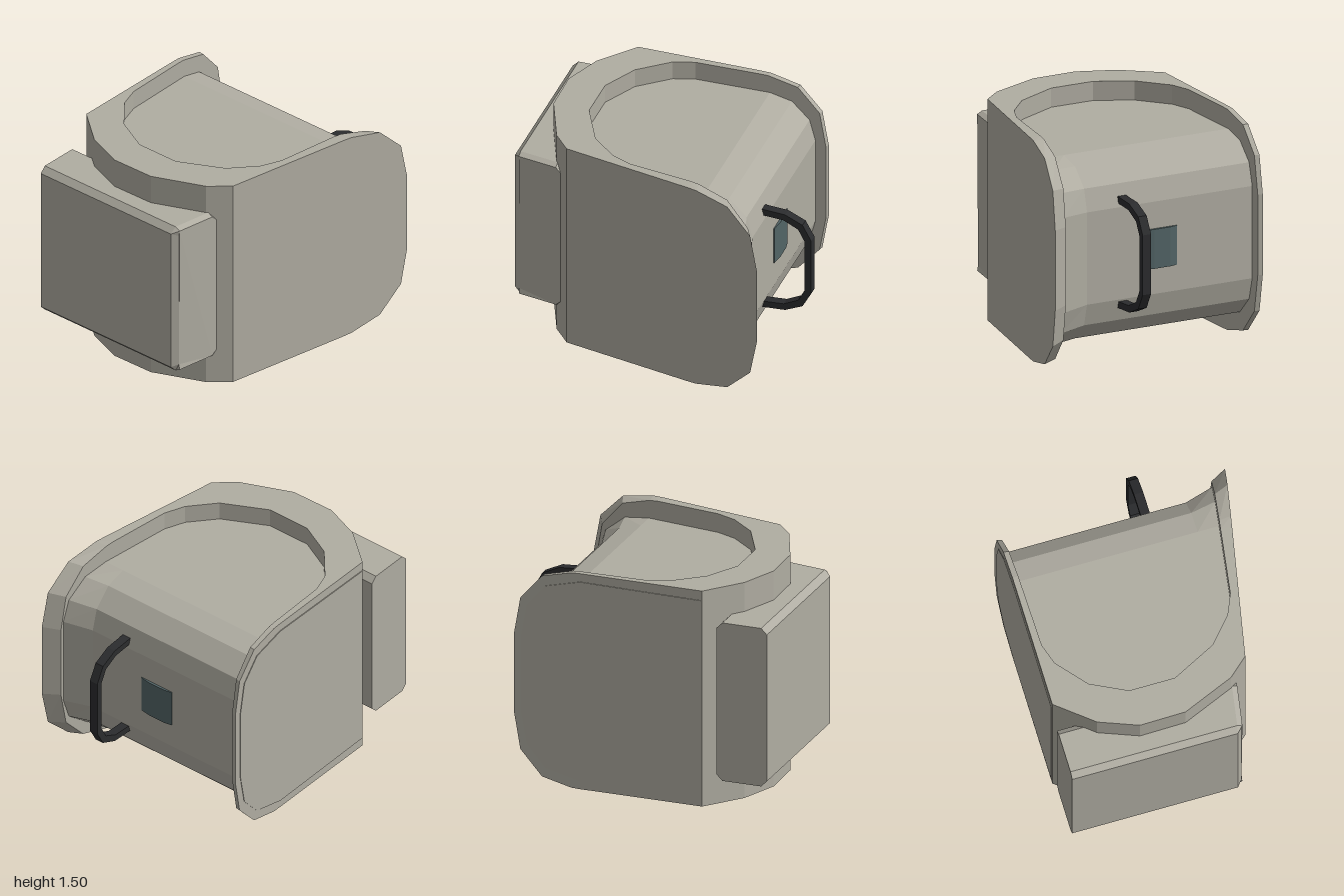
import * as THREE from 'three';

const MID = 0.757; // height of the horizontal symmetry plane

export function createModel() {
  const model = new THREE.Group();
  const shellGrey = new THREE.MeshStandardMaterial({ color: 0xb0ada2 });
  shellGrey.name = 'warm grey';
  const handleBlack = new THREE.MeshStandardMaterial({ color: 0x2b2c2e });
  handleBlack.name = 'charcoal';
  const glassTeal = new THREE.MeshStandardMaterial({ color: 0x526466 });
  glassTeal.name = 'dark teal';

  const shapeOf = (pts) => new THREE.Shape(pts.map(([a, b]) => new THREE.Vector2(a, b)));
  const extrude = (pts, depth, steps = 1) =>
    new THREE.ExtrudeGeometry(shapeOf(pts), { depth, steps, bevelEnabled: false });
  // Upright prism from an (x, z) outline
  const prism = (pts, y0, y1) =>
    extrude(pts.map(([x, z]) => [x, -z]), y1 - y0).rotateX(-Math.PI / 2).translate(0, y0, 0);
  // Mirror an upper (x, y) profile below the middle height
  const mirrorY = (pts, mid = MID) =>
    [...pts, ...pts.slice().reverse().map(([x, y]) => [x, 2 * mid - y])];
  const bend = (geo, rule) => {
    const p = geo.attributes.position;
    for (let i = 0; i < p.count; i++) p.setXYZ(i, ...rule(p.getX(i), p.getY(i), p.getZ(i)));
    geo.computeVertexNormals();
    return geo;
  };
  const add = (name, geo, mat) => {
    const mesh = new THREE.Mesh(geo, mat);
    mesh.name = name;
    model.add(mesh);
  };

  // Slanted front plate: outer and inner surfaces
  const frontOuter = (x) => 0.51 + 0.194 * (x + 0.585);
  const frontInner = (x) => 0.54 + 0.146 * (x + 0.14);
  const backInner = (x) => -0.735 - 0.022 * (x + 0.14);
  const JOIN = 0.3;

  // C-shaped wall around the back, side and front
  const innerCurve = [
    [JOIN, backInner(JOIN)], [-0.14, -0.735], [-0.28, -0.69], [-0.48, -0.52], [-0.6, -0.28],
    [-0.6, 0.03], [-0.45, 0.33], [-0.28, 0.48], [-0.14, 0.54], [JOIN, frontInner(JOIN)],
  ];
  const outerCurve = [
    [JOIN, frontOuter(JOIN)], [-0.585, 0.51], [-0.7, 0.38], [-0.845, 0.03],
    [-0.85, -0.28], [-0.75, -0.54], [-0.55, -0.785], [JOIN, -0.785],
  ];
  add('curvedWall', prism([...innerCurve, ...outerCurve], 0.007, 1.507), shellGrey);

  // Rounded ends of the front and back plates
  const plateEnd = mirrorY([[JOIN, 1.507], [0.37, 1.505], [0.6, 1.455], [0.77, 1.285], [0.82, 1.03]]);
  add('frontPlateEnd', bend(extrude(plateEnd, 1), (x, y, z) => {
    if (z > 0.5) return [x, y, frontOuter(x)];
    const k = (x - JOIN) / 0.52;
    const xi = x - 0.06 * k;
    return [xi, MID + (y - MID) * (1 - 0.03 * k), frontInner(xi)];
  }), shellGrey);
  add('backPlateEnd', bend(extrude(plateEnd, 1), (x, y, z) => {
    const xs = JOIN + (x - JOIN) * (z > 0.5 ? 0.87 : 0.885);
    return [xs, y, z > 0.5 ? backInner(xs) : -0.785 - 0.005 * (x - JOIN)];
  }), shellGrey);

  // Slightly raised panel on the back plate
  const panel = mirrorY([[-0.54, 1.44], [0.3, 1.45], [0.54, 1.39], [0.67, 1.24], [0.71, 1.02]]);
  add('backPanel', extrude(panel, 0.006).translate(0, 0, -0.791), shellGrey);

  // Recessed core inside the wall
  const core = innerCurve.map(([x, z]) => [x > 0 ? 0.37 : x, x > 0 ? (z > 0 ? frontInner(0.37) : backInner(0.37)) : z]);
  add('core', prism(core, 0.137, 1.377), shellGrey);

  // Rounded nose of the core, flaring out where it meets the front plate
  const nose = mirrorY([[0.37, 1.377], [0.52, 1.34], [0.64, 1.22], [0.68, 1.07]]);
  add('coreNose', bend(extrude(nose, 2, 2), (x, y, z) => {
    if (z < 0.5) return [x, y, -0.765];
    if (z < 1.5) return [x, y, 0.47];
    const k = (x - 0.37) / 0.31;
    const xf = x + 0.06 * k;
    return [xf, MID + (y - MID) * (1 + 0.03 * k), frontInner(xf) + 0.004];
  }), shellGrey);

  // Side box with chamfered corners and a slanted front
  const box = mirrorY([[-1, 1.265], [-0.96, 1.305], [-0.69, 1.305], [-0.65, 1.265]], 0.755);
  add('sideBox', bend(extrude(box, 2, 2), (x, y, z) => {
    const slant = 0.38 - 0.165 * -(x + 0.96);
    if (z < 0.5) return [x, y, -0.783];
    if (z < 1.5) return [x, y, slant - 0.035];
    return [Math.max(x, -0.96), 0.755 + (y - 0.755) * 0.965, slant];
  }), shellGrey);

  // Grab handle
  const H = 0.762;
  const outer = mirrorY([[0.66, 1.14], [0.82, 1.13], [0.94, 1.075], [1, 0.965]], H);
  const inner = mirrorY([[0.66, 1.095], [0.81, 1.085], [0.91, 1.035], [0.955, 0.95]], H);
  add('handle', extrude([...outer, ...inner.reverse()], 0.062).translate(0, 0, 0.172), handleBlack);

  // Small bulging window
  add('window', prism([
    [0.676, -0.192], [0.686, -0.192], [0.696, -0.14], [0.697, -0.02], [0.685, 0.06], [0.676, 0.06],
  ], 0.62, 0.887), glassTeal);

  return model;
}
